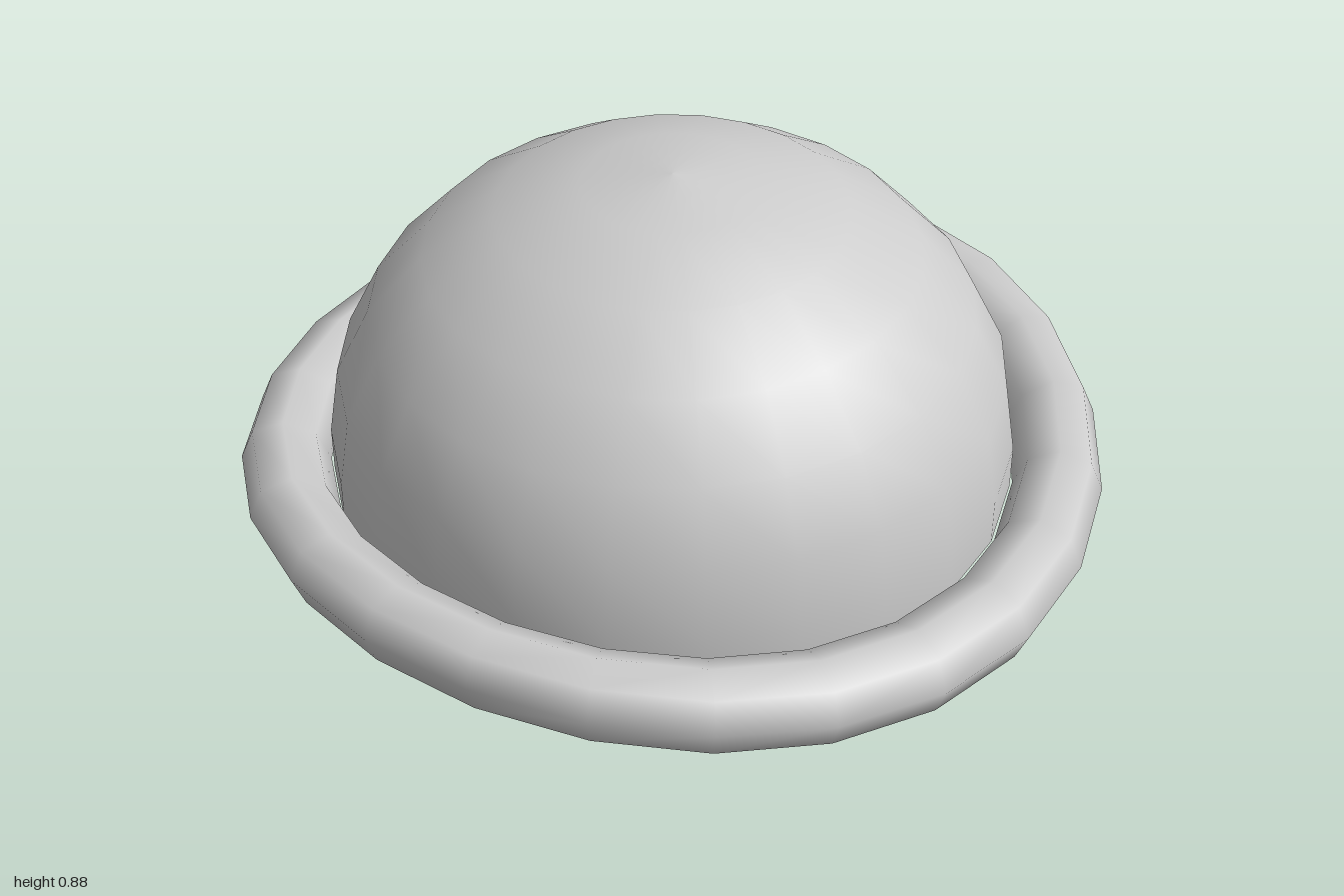
import * as THREE from 'three';

const SIDES = 24;

export function createModel() {
  const hat = new THREE.Group();
  hat.name = 'bowlerHat';
  const felt = new THREE.MeshStandardMaterial({ color: 0xcccccc });
  felt.name = 'light grey felt';

  const add = (name, geometry) => {
    const mesh = new THREE.Mesh(geometry, felt);
    mesh.name = name;
    hat.add(mesh);
    return mesh;
  };

  // Crown: flattened half sphere over a short straight wall
  const radius = 0.79, height = 0.655, baseY = 0.11, wallTop = 0.22;
  const profile = [new THREE.Vector2(radius, baseY)];
  for (let i = 0; i <= 6; i++) {
    const a = (i / 6) * Math.PI / 2;
    profile.push(new THREE.Vector2(i === 6 ? 0 : radius * Math.cos(a), wallTop + height * Math.sin(a)));
  }
  add('crown', new THREE.LatheGeometry(profile, SIDES));

  // Flat underside closing the crown
  const underside = new THREE.CircleGeometry(radius, SIDES);
  underside.rotateX(Math.PI / 2);
  add('underside', underside).position.y = baseY;

  // Rolled brim: ring whose left and right sides curl upward
  const tube = 0.1025;
  const brim = new THREE.TorusGeometry(1 - tube, tube, 8, SIDES);
  brim.rotateX(Math.PI / 2);
  const p = brim.attributes.position;
  const n = brim.attributes.normal;
  const normal = new THREE.Vector3();
  for (let i = 0; i < p.count; i++) {
    const x = p.getX(i);
    p.setY(i, p.getY(i) + tube + 0.11 * x * x);
    // Tilt the smooth normals along with the bend
    normal.fromBufferAttribute(n, i);
    normal.x -= 0.22 * x * normal.y;
    normal.normalize();
    n.setXYZ(i, normal.x, normal.y, normal.z);
  }
  add('brim', brim);

  return hat;
}
